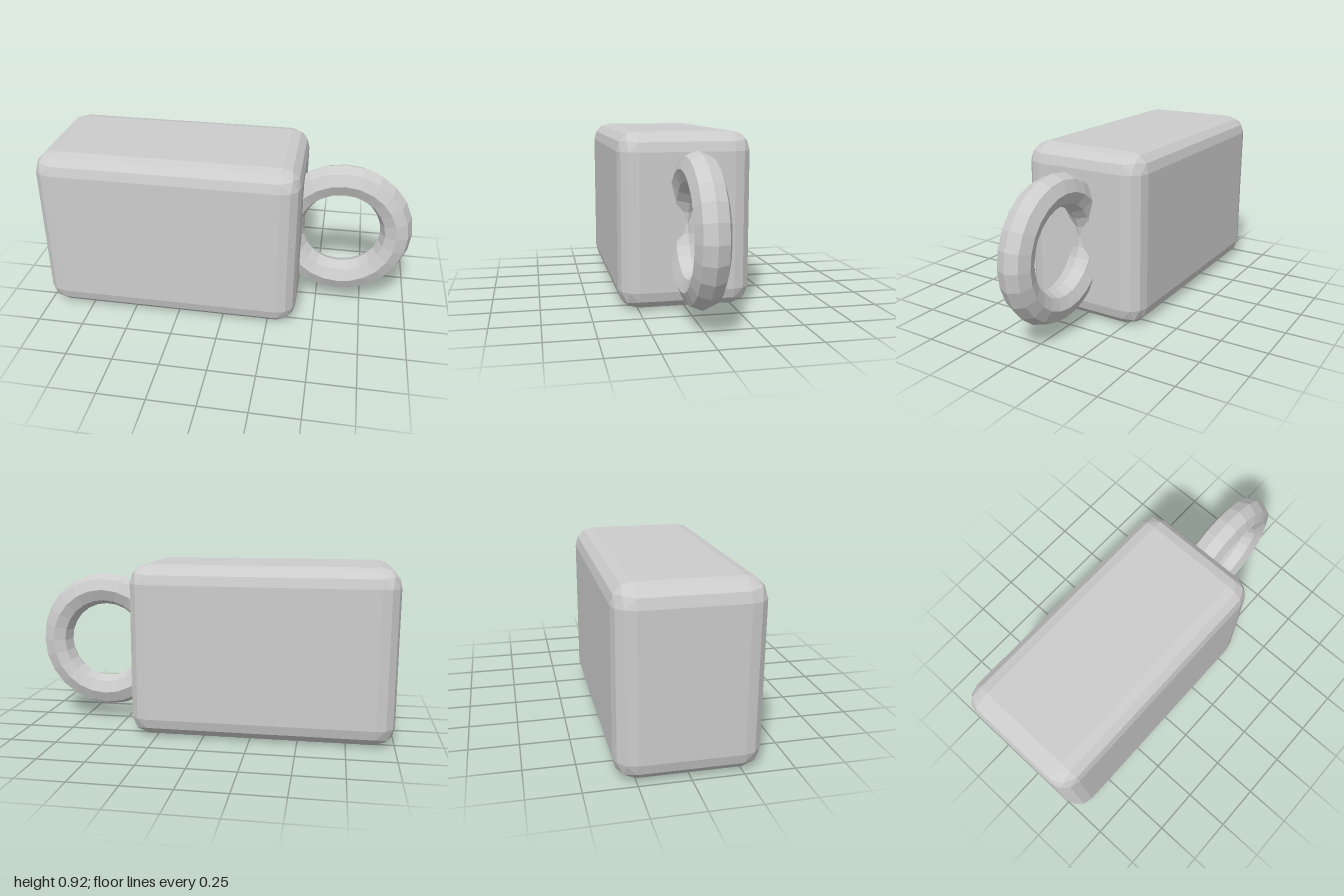
import * as THREE from 'three';
import { ConvexGeometry } from 'three/addons/geometries/ConvexGeometry.js';

// Box whose edges and corners are bevelled in three flat steps
function bevelledBox(w, h, d, r) {
  const points = [];
  const step = (i) => Math.sin((i * Math.PI) / 6);
  for (const sx of [-1, 1]) for (const sy of [-1, 1]) for (const sz of [-1, 1]) {
    for (let i = 0; i <= 3; i++) for (let j = 0; j <= 3 - i; j++) {
      const n = new THREE.Vector3(step(i), step(j), step(3 - i - j)).normalize();
      points.push(new THREE.Vector3(
        sx * (w / 2 - r + r * n.x),
        sy * (h / 2 - r + r * n.y),
        sz * (d / 2 - r + r * n.z)
      ));
    }
  }
  return new ConvexGeometry(points);
}

export function createModel() {
  const model = new THREE.Group();
  const grey = new THREE.MeshStandardMaterial({ color: 0xcccccc, flatShading: true });
  grey.name = 'light grey';

  // Main block
  const body = new THREE.Mesh(bevelledBox(1.4, 0.92, 0.7, 0.1), grey);
  body.name = 'body';
  body.position.set(-0.3, 0.46, 0);

  // Ring handle, partly sunk into the end of the block
  const handle = new THREE.Mesh(new THREE.TorusGeometry(0.297, 0.086, 8, 24), grey);
  handle.name = 'ringHandle';
  handle.position.set(0.613, 0.46, 0);

  model.add(body, handle);
  return model;
}
